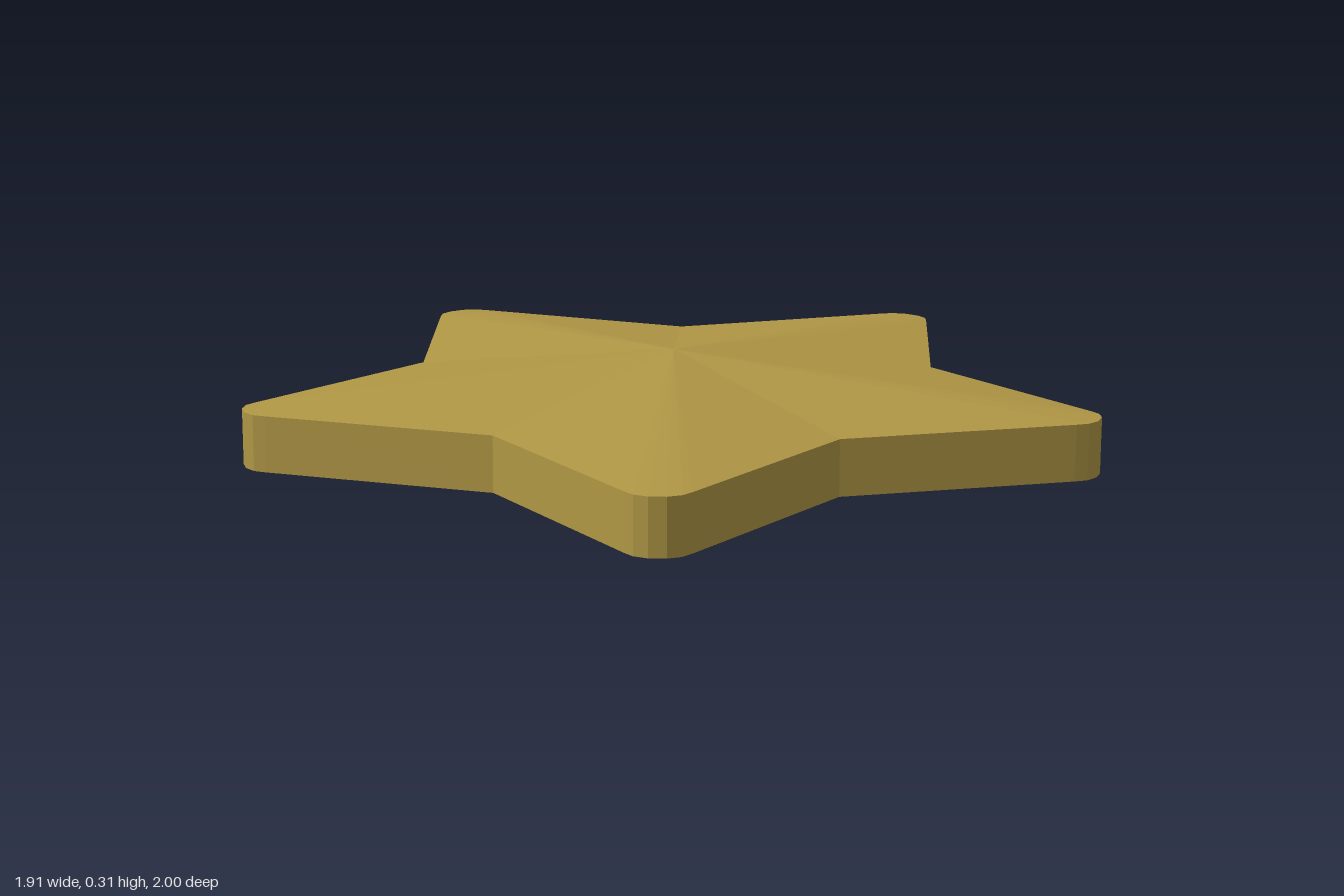
import * as THREE from 'three';

const APEX_X = 0.09, RIM_LOW = 0.088, RIM_HIGH = 0.222, TOP = 0.307;

// Star outline: five rounded tips separated by sharp notches
function starOutline() {
  const tip = [[1.005, -0.072], [1.03, -0.052], [1.044, -0.02], [1.044, 0.02], [1.03, 0.052], [1.005, 0.072]];
  const notch = 0.664;
  const points = [];
  for (let i = 0; i < 5; i++) {
    const a = Math.PI + (i * Math.PI * 2) / 5;
    for (const [r, t] of tip) {
      points.push([APEX_X + r * Math.cos(a) - t * Math.sin(a), r * Math.sin(a) + t * Math.cos(a)]);
    }
    const b = a + Math.PI / 5;
    points.push([APEX_X + notch * Math.cos(b), notch * Math.sin(b)]);
  }
  return points;
}

function facets(name, positions, material) {
  const geometry = new THREE.BufferGeometry();
  geometry.setAttribute('position', new THREE.Float32BufferAttribute(positions, 3));
  geometry.computeVertexNormals();
  const mesh = new THREE.Mesh(geometry, material);
  mesh.name = name;
  return mesh;
}

export function createModel() {
  const gold = new THREE.MeshStandardMaterial({ color: 0xb09745, flatShading: true });
  gold.name = 'gold';
  const group = new THREE.Group();
  group.name = 'star';

  const outline = starOutline();
  const top = [], bottom = [], rim = [];
  outline.forEach(([x0, z0], i) => {
    const [x1, z1] = outline[(i + 1) % outline.length];
    // Shallow faceted peaks above and below
    top.push(APEX_X, TOP, 0, x1, RIM_HIGH, z1, x0, RIM_HIGH, z0);
    bottom.push(APEX_X, 0, 0, x0, RIM_LOW, z0, x1, RIM_LOW, z1);
    // Upright edge
    rim.push(x0, RIM_LOW, z0, x0, RIM_HIGH, z0, x1, RIM_HIGH, z1);
    rim.push(x0, RIM_LOW, z0, x1, RIM_HIGH, z1, x1, RIM_LOW, z1);
  });

  group.add(
    facets('topFace', top, gold),
    facets('bottomFace', bottom, gold),
    facets('rim', rim, gold)
  );
  return group;
}
